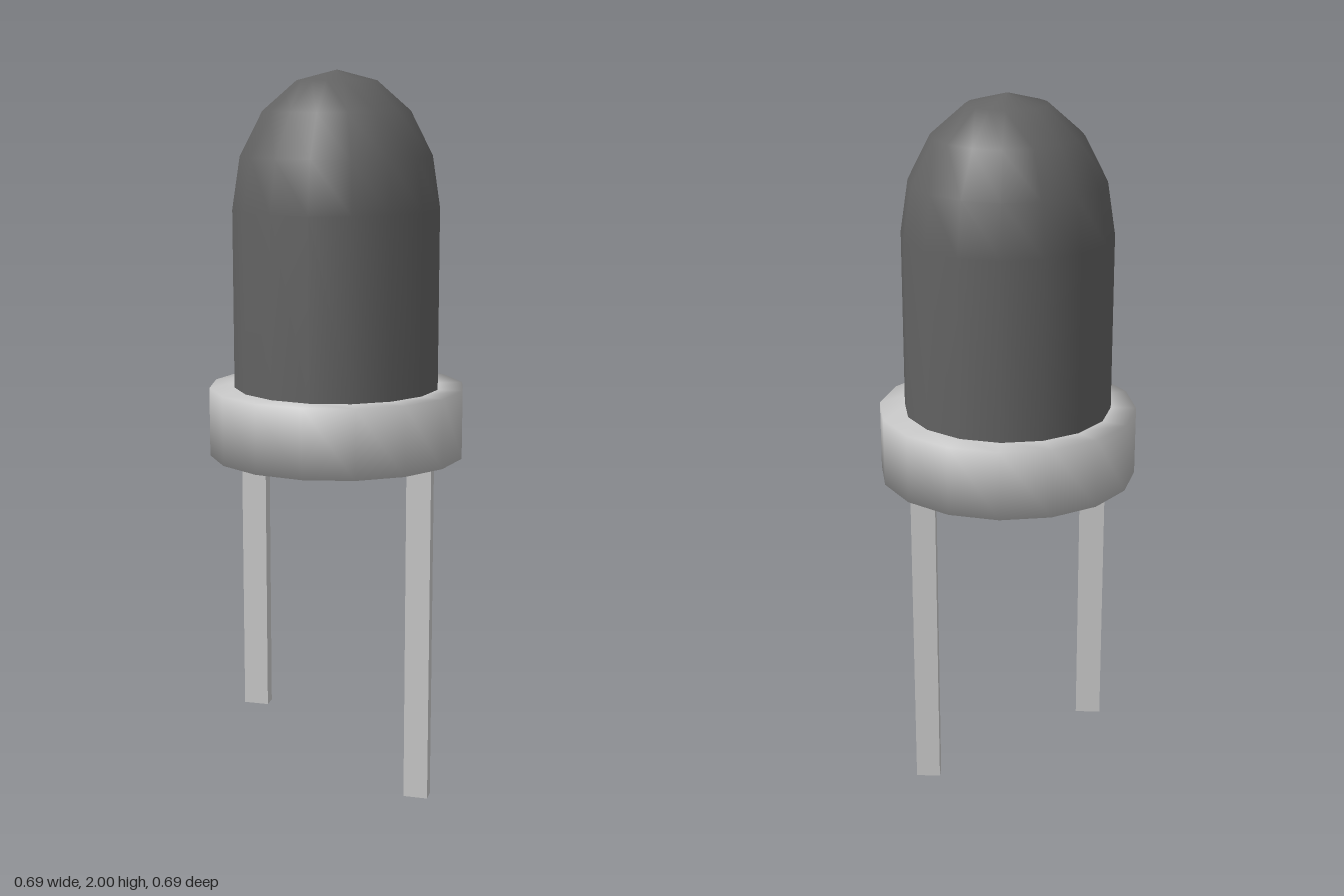
import * as THREE from 'three';

const SIDES = 16;

export function createModel() {
  const model = new THREE.Group();
  const grey = new THREE.MeshStandardMaterial({ color: 0xcccccc });
  const dark = new THREE.MeshStandardMaterial({ color: 0x626262 });

  const add = (name, geometry, material) => {
    const mesh = new THREE.Mesh(geometry, material);
    mesh.name = name;
    model.add(mesh);
    return mesh;
  };
  const lathe = (points) =>
    new THREE.LatheGeometry(points.map(([r, y]) => new THREE.Vector2(r, y)), SIDES);

  // Bulb: straight wall topped by a slightly stretched hemisphere
  const radius = 0.278, shoulder = 1.64, rise = 0.36;
  const bulb = [[radius, 1.16]];
  for (let i = 0; i <= 4; i++) {
    const a = (i / 4) * Math.PI / 2;
    bulb.push([i === 4 ? 0 : radius * Math.cos(a), shoulder + rise * Math.sin(a)]);
  }
  add('bulb', lathe(bulb), dark);

  // Base flange, softly shaded across its rims
  add('flange', lathe([[0, 0.98], [0.346, 0.98], [0.346, 1.165], [0.27, 1.165]]), grey);

  // Two flat leads, the left one longer
  const lead = (name, x, bottom) => {
    const height = 0.985 - bottom;
    add(name, new THREE.BoxGeometry(0.068, height, 0.038), grey)
      .position.set(x, bottom + height / 2, 0);
  };
  lead('leftLead', 0.233, 0);
  lead('rightLead', -0.233, 0.235);

  return model;
}
